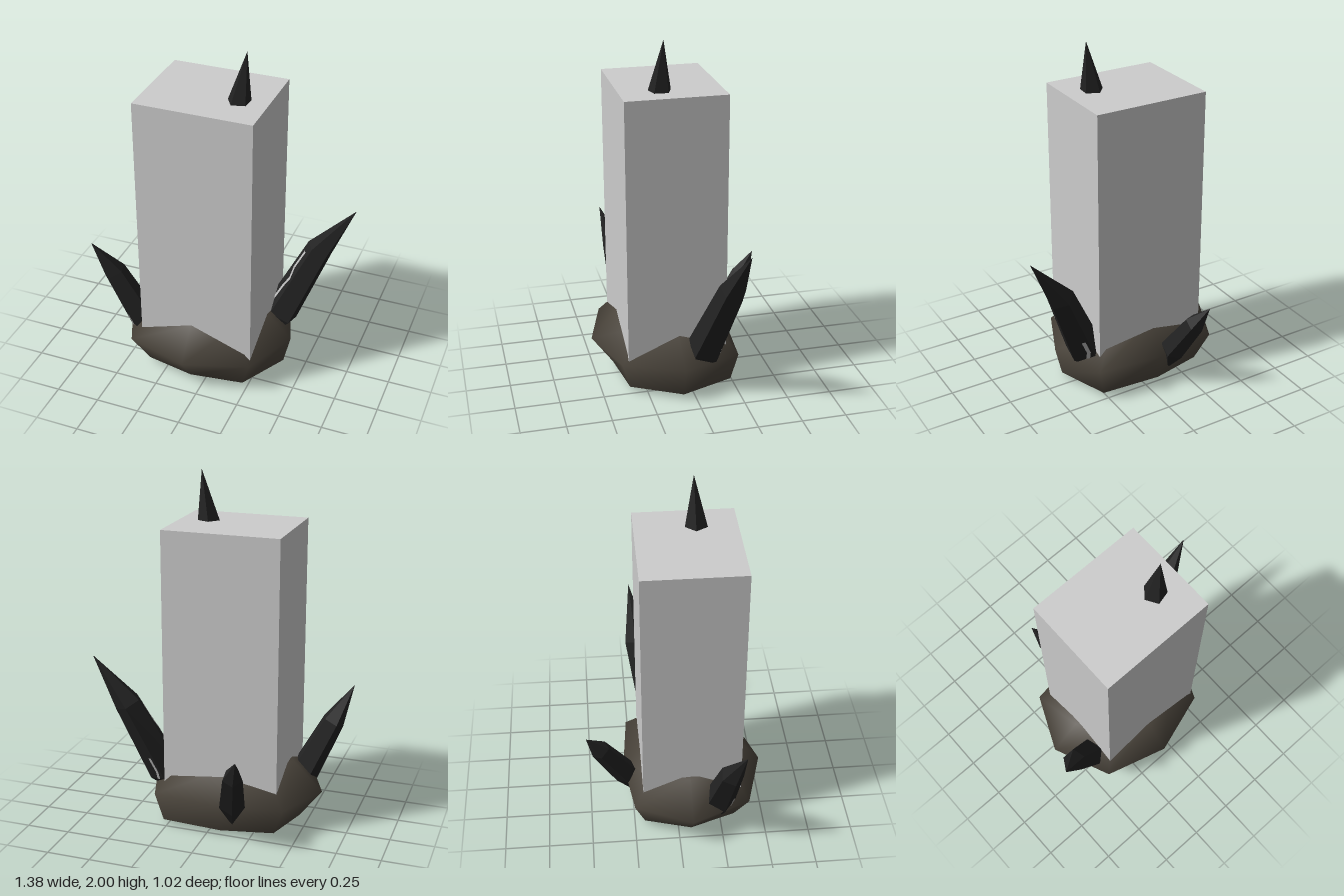
import * as THREE from 'three';

const mat = (name, color, extra = {}) => Object.assign(new THREE.MeshStandardMaterial({ color, ...extra }), { name });
const V = (a) => new THREE.Vector3(...a);

// Indexed geometry from a list of corner points
function geometry(points, index) {
  const g = new THREE.BufferGeometry();
  g.setFromPoints(points);
  g.setIndex(index);
  return g;
}

// Five-sided cross-section around a centre, square to the axis
function ring(center, axis, radius) {
  const side = axis.clone().cross(new THREE.Vector3(0, 1, 0)).normalize();
  const up = side.clone().cross(axis);
  return [0, 1, 2, 3, 4].map((k) => {
    const a = THREE.MathUtils.degToRad(54 + 72 * k);
    return center.clone().addScaledVector(side, Math.cos(a) * radius).addScaledVector(up, Math.sin(a) * radius);
  });
}

// Crystal: foot point, wide lower ring, narrower shoulder ring, tip
function crystal({ foot, low, lowR, shoulder, shoulderR, tip }) {
  const axis = V(shoulder).sub(V(low)).normalize();
  const a = ring(V(low), axis, lowR);
  const b = ring(V(shoulder), axis, shoulderR);
  const index = [];
  for (let i = 0; i < 5; i++) {
    const j = (i + 1) % 5;
    index.push(10, i, j, i, 5 + j, j, i, 5 + i, 5 + j, 5 + i, 11, 5 + j);
  }
  const geo = geometry([...a, ...b, V(foot), V(tip)], index).toNonIndexed();
  geo.computeVertexNormals();
  return { geo, a, b };
}

// Thin zigzag vein lying on one crystal face; path is [along, across] in 0..1
function vein({ a, b }, face, path, halfWidth) {
  const next = (face + 1) % 5;
  const at = ([u, v]) => a[face].clone().lerp(a[next], v).lerp(b[face].clone().lerp(b[next], v), u);
  const normal = b[face].clone().sub(a[face]).cross(a[next].clone().sub(a[face])).normalize();
  const centers = path.map((p) => at(p).addScaledVector(normal, 0.005));
  const points = [];
  const index = [];
  centers.forEach((c, i) => {
    const dir = centers[Math.min(i + 1, centers.length - 1)].clone().sub(centers[Math.max(i - 1, 0)]);
    const off = dir.cross(normal).normalize().multiplyScalar(halfWidth);
    points.push(c.clone().add(off), c.clone().sub(off));
    if (i) index.push(2 * i - 2, 2 * i, 2 * i - 1, 2 * i - 1, 2 * i, 2 * i + 1);
  });
  const geo = geometry(points, index).toNonIndexed();
  geo.computeVertexNormals();
  return geo;
}

// Rounded eight-sided rock with a flat underside
function rock() {
  const cx = -0.08, cz = 0.07;
  // x, z of the widest ring, then scale of the bottom edge
  const rim = [
    [0.42, 0.07, 0.92], [0.28, 0.395, 0.85], [-0.08, 0.51, 0.72], [-0.44, 0.405, 0.78],
    [-0.585, 0.07, 0.74], [-0.44, -0.25, 0.82], [-0.08, -0.3, 0.88], [0.31, -0.265, 0.9],
  ];
  const layer = (y, scale) => rim.map(([x, z, s]) => {
    const k = scale ?? s;
    return new THREE.Vector3(cx + (x - cx) * k, y, cz + (z - cz) * k);
  });
  const points = [...layer(0.03), ...layer(0.2, 1), ...layer(0.37, 0.66), new THREE.Vector3(cx, 0.42, cz),
    ...layer(0.03), new THREE.Vector3(cx, 0.02, cz)];
  const index = [];
  for (let i = 0; i < 8; i++) {
    const j = (i + 1) % 8;
    for (const r of [0, 8]) index.push(r + i, r + 8 + i, r + j, r + j, r + 8 + i, r + 8 + j);
    index.push(16 + i, 24, 16 + j, 25 + i, 25 + j, 33);
  }
  const g = geometry(points, index);
  g.computeVertexNormals();
  return g;
}

export function createModel() {
  const model = new THREE.Group();
  const stone = mat('brown stone', 0x4a443b);
  const dark = mat('black crystal', 0x222222);
  const grey = mat('light grey', 0xcccccc);
  const veinGrey = mat('vein grey', 0xb8b8b8, { side: THREE.DoubleSide });
  const add = (name, geo, material) => {
    const mesh = new THREE.Mesh(geo, material);
    mesh.name = name;
    model.add(mesh);
    return mesh;
  };

  add('rockBase', rock(), stone);

  // Tall block rising from the rock
  add('block', new THREE.BoxGeometry(0.665, 1.52, 0.56), grey).position.set(-0.0575, 0.96, 0.08);

  const crystals = {
    leftCrystal: {
      foot: [0.24, 0.1, -0.04], low: [0.31, 0.27, -0.07], lowR: 0.105,
      shoulder: [0.5, 0.7, -0.17], shoulderR: 0.078, tip: [0.69, 0.975, -0.21],
      veins: [
        [0, [[0.15, 0.5], [0.38, 0.42], [0.52, 0.25], [0.65, 0.55], [0.9, 0.5]]],
        [2, [[0, 0.35], [0.1, 0.2], [0.3, 0.22]]],
      ],
    },
    rightCrystal: {
      foot: [-0.4, 0.06, 0.24], low: [-0.43, 0.23, 0.235], lowR: 0.09,
      shoulder: [-0.59, 0.56, 0.275], shoulderR: 0.066, tip: [-0.695, 0.77, 0.34],
      veins: [[2, [[0.02, 0.5], [0.14, 0.38], [0.25, 0.42]]]],
    },
    backCrystal: {
      foot: [-0.15, 0.07, -0.25], low: [-0.16, 0.22, -0.285], lowR: 0.075,
      shoulder: [-0.21, 0.45, -0.43], shoulderR: 0.058, tip: [-0.25, 0.575, -0.51],
      veins: [],
    },
    topCrystal: {
      foot: [0.13, 0, 0.23], low: [0.12, 0.15, 0.2], lowR: 0.09,
      shoulder: [0.105, 1.63, 0.14], shoulderR: 0.085, tip: [0.155, 2, 0.125],
      veins: [],
    },
  };
  for (const [name, spec] of Object.entries(crystals)) {
    const c = crystal(spec);
    add(name, c.geo, dark);
    for (const [face, path] of spec.veins) add(name + 'Vein', vein(c, face, path, 0.011), veinGrey);
  }
  return model;
}
